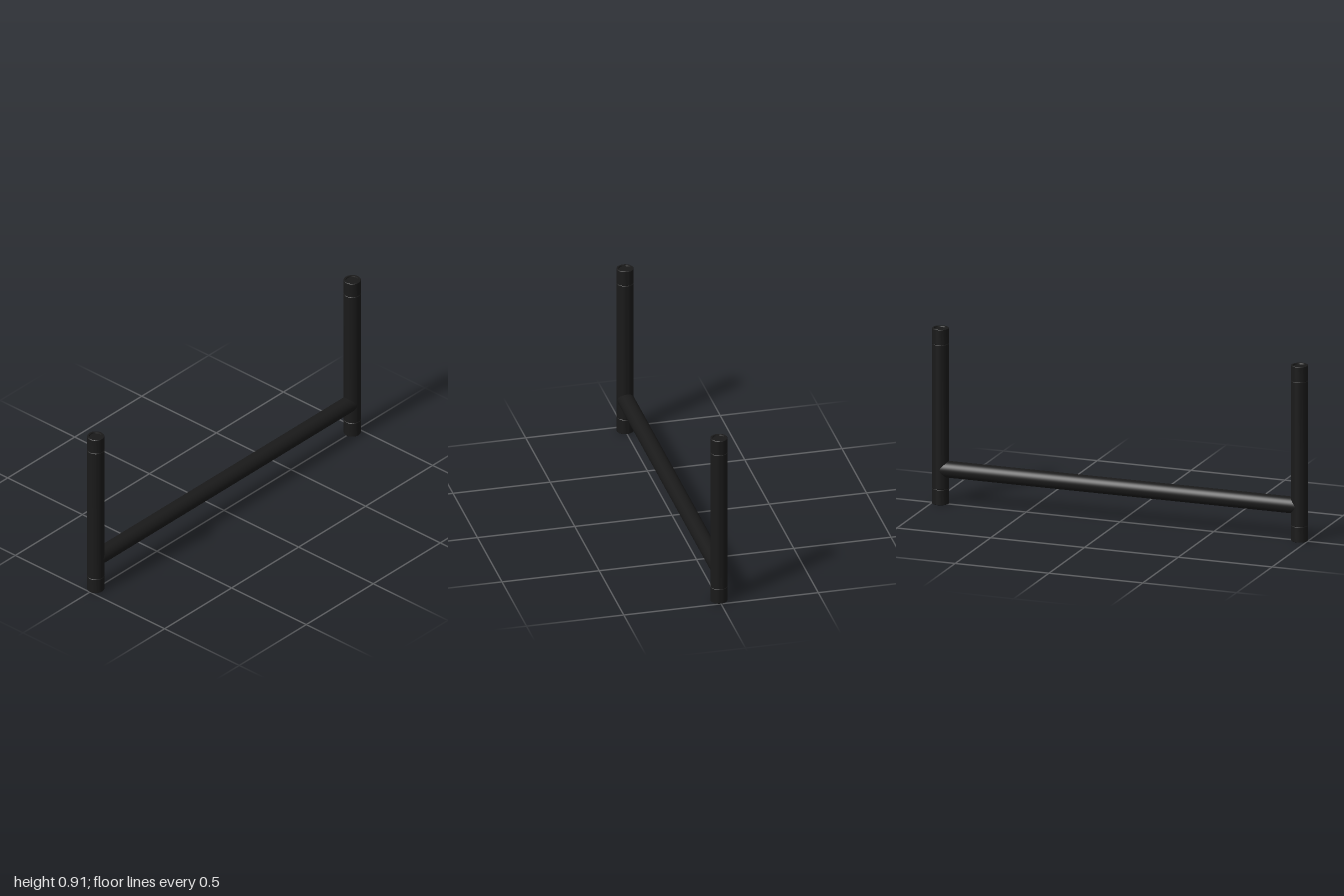
import * as THREE from 'three';
import { toCreasedNormals } from 'three/addons/utils/BufferGeometryUtils.js';

const R = 0.043;       // post radius
const H = 0.91;        // post height
const CAP = 0.08;      // end collar height
const POST_X = 1 - R;
const BAR_Y = 0.18;

const black = new THREE.MeshStandardMaterial({ color: 0x1a1a1a });

function lathe(name, points) {
  const profile = points.map(([r, y]) => new THREE.Vector2(r, y));
  const geometry = toCreasedNormals(new THREE.LatheGeometry(profile, 48), 0.6);
  const mesh = new THREE.Mesh(geometry, black);
  mesh.name = name;
  return mesh;
}

// Collar with softened edges and a shallow dished end, outer end at y = 0
function createCollar(name) {
  return lathe(name, [
    [0, 0.006], [0.031, 0.006], [0.033, 0], [R - 0.002, 0], [R, 0.002],
    [R, CAP - 0.002], [R - 0.002, CAP], [0, CAP],
  ]);
}

function createPost(name) {
  const post = new THREE.Group();
  post.name = name;

  // Main tube, with its edges eased to leave a fine groove at each collar
  const a = CAP, b = H - CAP;
  post.add(lathe('postTube', [
    [0, a], [R - 0.002, a], [R, a + 0.002],
    [R, b - 0.002], [R - 0.002, b], [0, b],
  ]));

  post.add(createCollar('bottomCollar'));
  const top = createCollar('topCollar');
  top.rotation.x = Math.PI;
  top.position.y = H;
  post.add(top);
  return post;
}

export function createModel() {
  const model = new THREE.Group();
  model.name = 'hFrame';

  // Upright posts
  for (const [name, side] of [['leftPost', 1], ['rightPost', -1]]) {
    const post = createPost(name);
    post.position.x = side * POST_X;
    model.add(post);
  }

  // Cross bar, running into both posts
  const bar = new THREE.Mesh(new THREE.CylinderGeometry(0.042, 0.042, POST_X * 2, 48), black);
  bar.name = 'crossBar';
  bar.rotation.z = Math.PI / 2;
  bar.position.y = BAR_Y;
  model.add(bar);

  return model;
}
